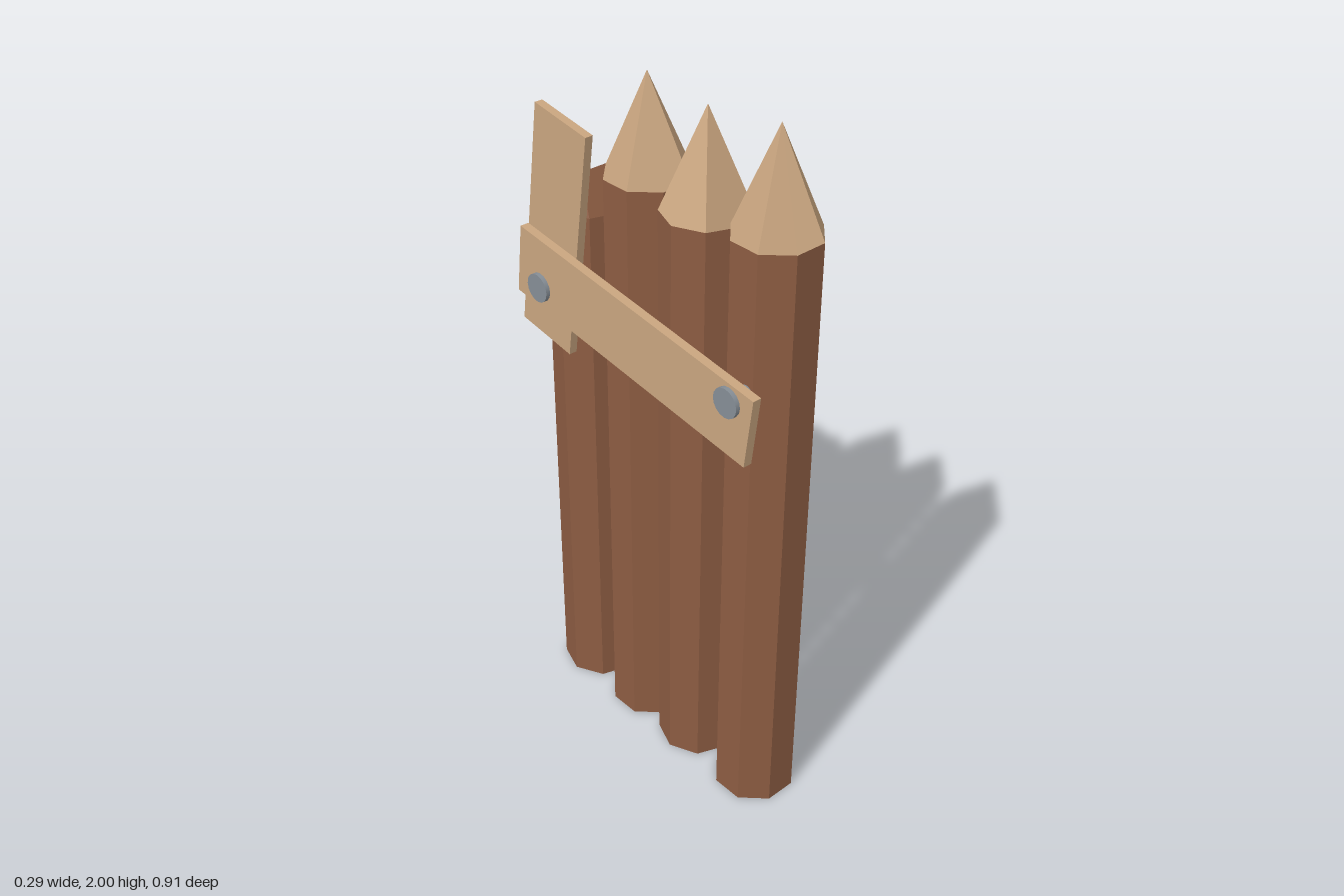
import * as THREE from 'three';

const BARK = 0x8c5c42, WOOD = 0xc9a57f, METAL = 0x868e96;
const SIDES = 8;

function makeMesh(name, geometry, color) {
  const mesh = new THREE.Mesh(geometry, new THREE.MeshStandardMaterial({ color }));
  mesh.name = name;
  return mesh;
}

// Fan each polygon into triangles, with one flat normal per polygon.
function polygons(polys) {
  const pos = [], nor = [];
  for (const p of polys) {
    const n = new THREE.Vector3();
    p.forEach((a, i) => n.add(a.clone().cross(p[(i + 1) % p.length])));
    n.normalize();
    for (let i = 1; i < p.length - 1; i++) {
      for (const v of [p[0], p[i], p[i + 1]]) {
        pos.push(v.x, v.y, v.z);
        nor.push(n.x, n.y, n.z);
      }
    }
  }
  const g = new THREE.BufferGeometry();
  g.setAttribute('position', new THREE.Float32BufferAttribute(pos, 3));
  g.setAttribute('normal', new THREE.Float32BufferAttribute(nor, 3));
  return g;
}

// Octagon ring; height(i, z) gives the y of each corner.
function ring(cx, cz, phaseDeg, height) {
  return Array.from({ length: SIDES }, (_, i) => {
    const a = THREE.MathUtils.degToRad(phaseDeg + i * 45);
    const z = cz + 0.115 * Math.sin(a);
    return new THREE.Vector3(cx + 0.115 * Math.cos(a), height(i, z), z);
  });
}

// Walls and underside between two rings.
function trunkFaces(bottom, top) {
  const walls = bottom.map((b, i) => {
    const j = (i + 1) % SIDES;
    return [b, top[i], top[j], bottom[j]];
  });
  return [...walls, bottom];
}

// Whole log with a four-faced carved point.
function pointedLog(name, cx, cz, phase, shoulder, tipY) {
  const group = new THREE.Group();
  group.name = name;
  const bottom = ring(cx, cz, phase, () => 0);
  const top = ring(cx, cz, phase, () => shoulder);
  const tip = new THREE.Vector3(cx, tipY, cz);
  const facets = [0, 2, 4, 6].map(i => [tip, top[(i + 2) % SIDES], top[i + 1], top[i]]);
  group.add(makeMesh('logTrunk', polygons(trunkFaces(bottom, top)), BARK));
  group.add(makeMesh('logPoint', polygons(facets), WOOD));
  return group;
}

// Log split by one steep slanting cut, leaving a bent bark lip in front.
function brokenLog(name, cx, cz, phase) {
  const group = new THREE.Group();
  group.name = name;
  const cut = z => 1.67 + 2.875 * (z + 0.283);
  const bottom = ring(cx, cz, phase, () => 0);
  const t = ring(cx, cz, phase, (i, z) => (i >= 1 && i <= 3 ? 1.56 : cut(z)));
  const r1 = new THREE.Vector3(0.08, 1.67, -0.283);
  const r2 = new THREE.Vector3(-0.035, 1.67, -0.283);
  const lip = [[t[0], r1, t[1]], [t[1], r1, t[2]], [t[2], r1, r2, t[3]], [t[3], r2, t[4]]];
  const face = [r2, r1, t[0], t[7], t[6], t[5], t[4]];
  group.add(makeMesh('brokenTrunk', polygons([...trunkFaces(bottom, t), ...lip]), BARK));
  group.add(makeMesh('brokenFace', polygons([face]), WOOD));
  return group;
}

function board(name, size, position, tilt) {
  const mesh = makeMesh(name, new THREE.BoxGeometry(...size), WOOD);
  mesh.position.set(...position);
  mesh.rotation.x = tilt;
  return mesh;
}

// Bolt lying along x: wide head outside, shaft into the log.
function bolt(name, y, z) {
  const group = new THREE.Group();
  group.name = name;
  for (const [part, radius, x0, x1] of [['boltHead', 0.04, -0.147, -0.134], ['boltShaft', 0.021, -0.135, -0.06]]) {
    const g = new THREE.CylinderGeometry(radius, radius, x1 - x0, 16);
    g.rotateZ(Math.PI / 2);
    const mesh = makeMesh(part, g, METAL);
    mesh.position.x = (x0 + x1) / 2;
    group.add(mesh);
  }
  group.position.set(0, y, z);
  return group;
}

export function createModel() {
  const model = new THREE.Group();
  model.name = 'palisade';

  // Row of logs, front to back
  model.add(pointedLog('frontLog', 0.028, 0.352, -23.5, 1.73, 2.0));
  model.add(pointedLog('secondLog', 0.028, 0.114, -47, 1.695, 1.965));
  model.add(pointedLog('thirdLog', 0.029, -0.1, -23.5, 1.715, 1.98));
  model.add(brokenLog('brokenLog', 0.029, -0.329, -5));

  // Boards on the right side
  model.add(board('crossBoard', [0.025, 0.2, 0.88], [-0.1225, 1.35, 0.01], 0.124));
  model.add(board('patchBoard', [0.023, 0.657, 0.198], [-0.0985, 1.515, -0.31], 0.145));

  // Bolts holding the cross board
  model.add(bolt('frontBolt', 1.355, 0.376));
  model.add(bolt('rearBolt', 1.355, -0.34));
  return model;
}
